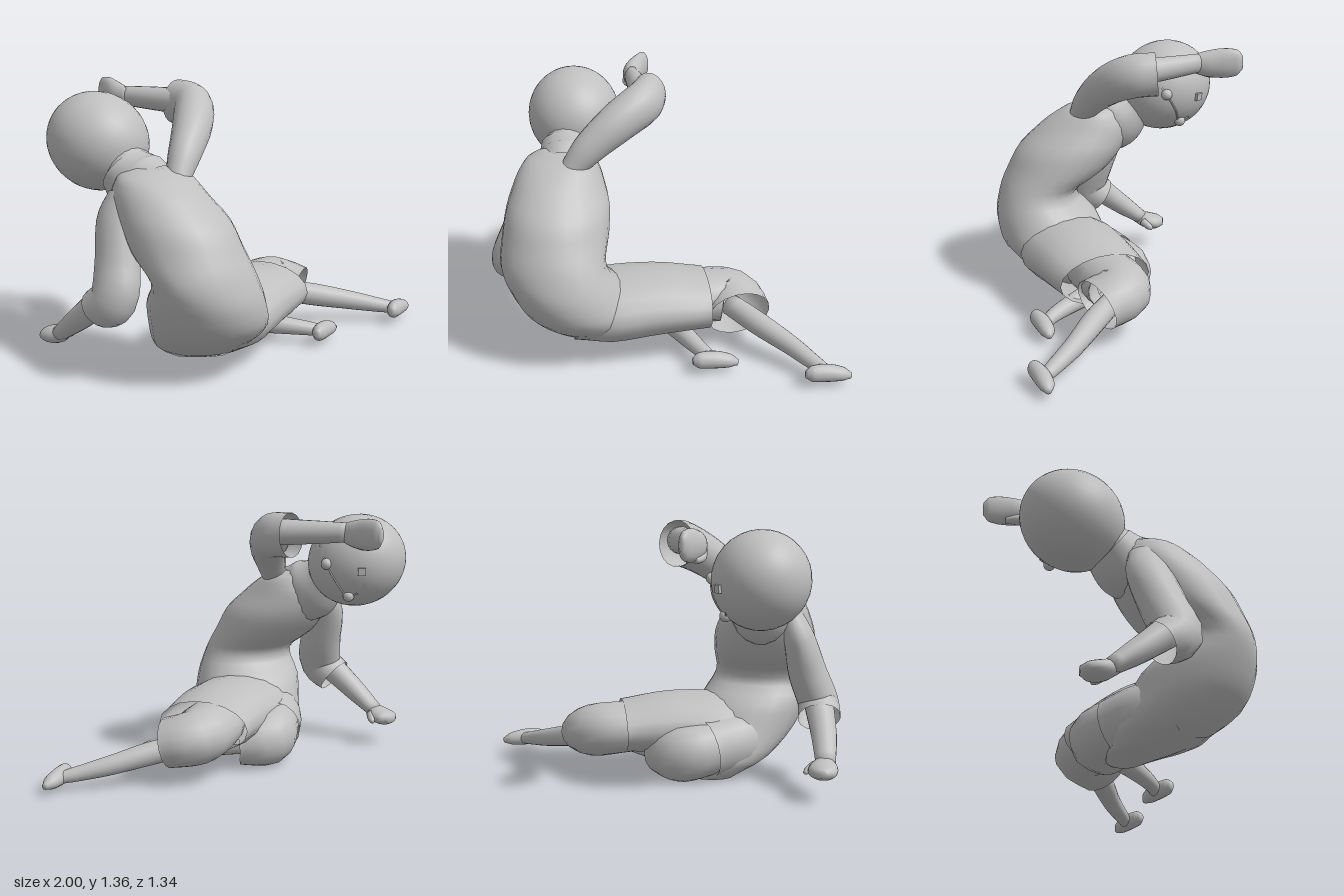
import * as THREE from 'three';

const clay = new THREE.MeshStandardMaterial({ color: 0xc0c0c0, side: THREE.DoubleSide });
clay.name = 'clay grey';

const V = (x, y, z) => new THREE.Vector3(x, y, z);

// Smooth skin over elliptical sections [x, y, z, halfWidth, halfHeight]
function loft(name, secs, { ref = V(0, 1, 0), axis = null, caps = [false, false], steps = 4, sides = 18 } = {}) {
  const path = new THREE.CatmullRomCurve3(secs.map(s => V(s[0], s[1], s[2])));
  const size = new THREE.CatmullRomCurve3(secs.map(s => V(s[3], s[4], 0)), false, 'catmullrom', 0.4);
  const rings = (secs.length - 1) * steps;
  const pos = [], idx = [];
  for (let i = 0; i <= rings; i++) {
    const c = path.getPoint(i / rings), r = size.getPoint(i / rings);
    const t = axis ?? path.getTangent(i / rings);
    const side = ref.clone().cross(t).normalize();
    const up = t.clone().cross(side);
    for (let k = 0; k < sides; k++) {
      const a = (k / sides) * Math.PI * 2;
      const p = c.clone().addScaledVector(side, Math.cos(a) * r.x).addScaledVector(up, Math.sin(a) * r.y);
      pos.push(p.x, p.y, p.z);
      if (i < rings) {
        const n = (k + 1) % sides, o = i * sides;
        idx.push(o + k, o + n, o + sides + k, o + n, o + sides + n, o + sides + k);
      }
    }
  }
  caps.forEach((on, end) => {
    if (!on) return;
    const p = path.getPoint(end), m = pos.length / 3, o = end * rings * sides;
    pos.push(p.x, p.y, p.z);
    for (let k = 0; k < sides; k++) {
      const n = (k + 1) % sides;
      end ? idx.push(o + k, o + n, m) : idx.push(o + n, o + k, m);
    }
  });
  const g = new THREE.BufferGeometry();
  g.setAttribute('position', new THREE.Float32BufferAttribute(pos, 3));
  g.setIndex(idx);
  g.computeVertexNormals();
  const mesh = new THREE.Mesh(g, clay);
  mesh.name = name;
  return mesh;
}

export function createModel() {
  const model = new THREE.Group();
  model.name = 'recliningFigure';
  const add = (...args) => model.add(loft(...args));
  const both = [true, true];

  // Hunched torso, horizontal sections from seat to shoulders
  add('torso', [
    [-0.28, 0.01, 0.08, 0.13, 0.1],
    [-0.35, 0.11, 0.2, 0.23, 0.23],
    [-0.4, 0.25, 0.33, 0.29, 0.29],
    [-0.46, 0.39, 0.39, 0.29, 0.28],
    [-0.51, 0.52, 0.44, 0.27, 0.215],
    [-0.53, 0.65, 0.33, 0.27, 0.275],
    [-0.54, 0.77, 0.25, 0.26, 0.29],
    [-0.56, 0.89, 0.16, 0.22, 0.25],
    [-0.56, 0.97, 0.12, 0.18, 0.17],
    [-0.55, 1.01, 0.08, 0.1, 0.1],
  ], { ref: V(0, 0, 1), axis: V(0, 1, 0), caps: both, steps: 3, sides: 24 });

  // Tunic skirt lying over the left thigh, and its fold around the right one
  add('tunicSkirt', [
    [-0.46, 0.24, 0.35, 0.21, 0.15],
    [-0.28, 0.25, 0.27, 0.28, 0.175],
    [-0.05, 0.265, 0.18, 0.27, 0.165],
    [0.19, 0.255, 0.08, 0.25, 0.135],
  ]);
  add('tunicFold', [
    [-0.5, 0.22, 0.26, 0.14, 0.14],
    [-0.4, 0.19, 0.13, 0.155, 0.155],
    [-0.28, 0.165, 0.03, 0.155, 0.155],
  ]);

  // Collar and neck
  add('collar', [[-0.55, 0.87, 0.1, 0.14, 0.16], [-0.565, 0.91, 0.0, 0.155, 0.17], [-0.585, 0.97, -0.08, 0.145, 0.13]]);
  add('neck', [[-0.56, 0.9, 0.05, 0.12, 0.12], [-0.6, 1.03, -0.15, 0.12, 0.12]]);

  // Head, longest from chin to crown, and face details
  const centre = V(-0.614, 1.088, -0.272), R = 0.243;
  const crown = V(-0.3, 0.35, -0.85).normalize();
  const onHead = (y, z, lift = 0) => {
    const p = V(0, y - centre.y, z - centre.z);
    p.x = Math.sqrt(Math.max(0, R * R - p.y * p.y - p.z * p.z));
    return p.setLength(R + lift).add(centre);
  };
  const put = (name, geometry, p) => {
    const mesh = new THREE.Mesh(geometry, clay);
    mesh.name = name;
    mesh.position.copy(p);
    model.add(mesh);
    return mesh;
  };
  const head = put('head', new THREE.SphereGeometry(R, 32, 24).scale(1, 1.09, 1), centre);
  head.quaternion.setFromUnitVectors(V(0, 1, 0), crown);
  [[1.09, -0.27], [0.92, -0.35]].forEach(([y, z]) =>
    put('eye', new THREE.SphereGeometry(0.03, 14, 10), onHead(y, z)));
  const mark = put('foreheadMark', new THREE.BoxGeometry(0.04, 0.04, 0.02), onHead(1.06, -0.445, 0.006));
  mark.lookAt(mark.position.clone().multiplyScalar(2).sub(centre));
  const brow = [[1.18, -0.2], [1.09, -0.27], [1.0, -0.32], [0.92, -0.35], [0.94, -0.4]].map(p => onHead(...p, 0.002));
  put('browLine', new THREE.TubeGeometry(new THREE.CatmullRomCurve3(brow), 24, 0.005, 5), V(0, 0, 0));

  // Raised left arm
  add('leftSleeve', [
    [-0.48, 0.95, 0.2, 0.06, 0.06],
    [-0.4, 1.05, 0.15, 0.08, 0.085],
    [-0.27, 1.17, 0.05, 0.1, 0.105],
    [-0.175, 1.24, -0.07, 0.1, 0.115],
    [-0.175, 1.25, -0.2, 0.09, 0.115],
  ]);
  add('leftForearm', [[-0.17, 1.26, -0.1, 0.07, 0.07], [-0.26, 1.265, -0.28, 0.055, 0.06], [-0.34, 1.27, -0.44, 0.038, 0.05]], { caps: both });
  add('leftHand', [
    [-0.335, 1.27, -0.4, 0.03, 0.045],
    [-0.345, 1.265, -0.48, 0.05, 0.07],
    [-0.335, 1.27, -0.57, 0.042, 0.08],
    [-0.325, 1.275, -0.64, 0.03, 0.07],
    [-0.32, 1.275, -0.67, 0.012, 0.035],
  ], { caps: both });
  add('leftThumb', [[-0.35, 1.24, -0.43, 0.035, 0.03], [-0.365, 1.21, -0.5, 0.03, 0.025], [-0.36, 1.2, -0.56, 0.015, 0.015]], { caps: both });

  // Right arm propped on the ground
  add('rightSleeve', [
    [-0.7, 0.89, 0.06, 0.06, 0.08],
    [-0.75, 0.76, 0.07, 0.08, 0.115],
    [-0.79, 0.57, 0.13, 0.1, 0.12],
    [-0.84, 0.42, 0.165, 0.105, 0.125],
    [-0.86, 0.355, 0.08, 0.11, 0.1],
  ], { ref: V(0, 0.3, -1) });
  add('rightForearm', [[-0.85, 0.42, 0.12, 0.075, 0.075], [-0.9, 0.29, -0.03, 0.065, 0.06], [-0.93, 0.18, -0.17, 0.05, 0.04]], { caps: both });
  add('rightHand', [
    [-0.925, 0.19, -0.14, 0.035, 0.035],
    [-0.925, 0.165, -0.2, 0.07, 0.045],
    [-0.925, 0.155, -0.26, 0.07, 0.04],
    [-0.92, 0.155, -0.3, 0.03, 0.02],
  ], { caps: both });
  add('rightThumb', [[-0.88, 0.17, -0.18, 0.025, 0.025], [-0.85, 0.15, -0.21, 0.02, 0.02], [-0.835, 0.14, -0.23, 0.01, 0.01]], { caps: both });

  // Bent legs: trousers and shins, left leg lying over the right
  add('leftTrouser', [
    [0.0, 0.255, 0.15, 0.15, 0.13],
    [0.16, 0.25, 0.06, 0.17, 0.135],
    [0.31, 0.235, 0.01, 0.16, 0.14],
    [0.385, 0.2, 0.13, 0.17, 0.13],
  ]);
  add('rightTrouser', [
    [-0.4, 0.19, 0.13, 0.13, 0.13],
    [-0.3, 0.17, 0.04, 0.14, 0.14],
    [-0.17, 0.145, -0.045, 0.135, 0.145],
    [-0.05, 0.13, 0.06, 0.135, 0.125],
  ]);
  add('leftShin', [[0.32, 0.2, 0.04, 0.055, 0.06], [0.5, 0.16, 0.15, 0.06, 0.06], [0.68, 0.115, 0.25, 0.05, 0.05], [0.82, 0.08, 0.345, 0.04, 0.038], [0.89, 0.065, 0.39, 0.03, 0.03]], { caps: both });
  add('rightShin', [[-0.14, 0.125, -0.01, 0.055, 0.06], [0.0, 0.115, 0.12, 0.06, 0.06], [0.12, 0.1, 0.24, 0.05, 0.05], [0.24, 0.08, 0.35, 0.04, 0.038], [0.31, 0.065, 0.395, 0.03, 0.03]], { caps: both });

  // Feet, heel to toe, turned slightly from the shins
  const foot = [
    [0, 0.075, 0.05, 0.015, 0.02],
    [0.03, 0.075, 0.035, 0.035, 0.042],
    [0.1, 0.07, 0, 0.043, 0.045],
    [0.17, 0.06, -0.025, 0.038, 0.035],
    [0.215, 0.05, -0.035, 0.015, 0.015],
  ];
  [['leftFoot', 0.785, 0.4], ['rightFoot', 0.215, 0.405]].forEach(([name, x, z]) =>
    add(name, foot.map(s => [s[0] + x, s[1], s[2] + z, s[3], s[4]]), { caps: both }));

  return model;
}
